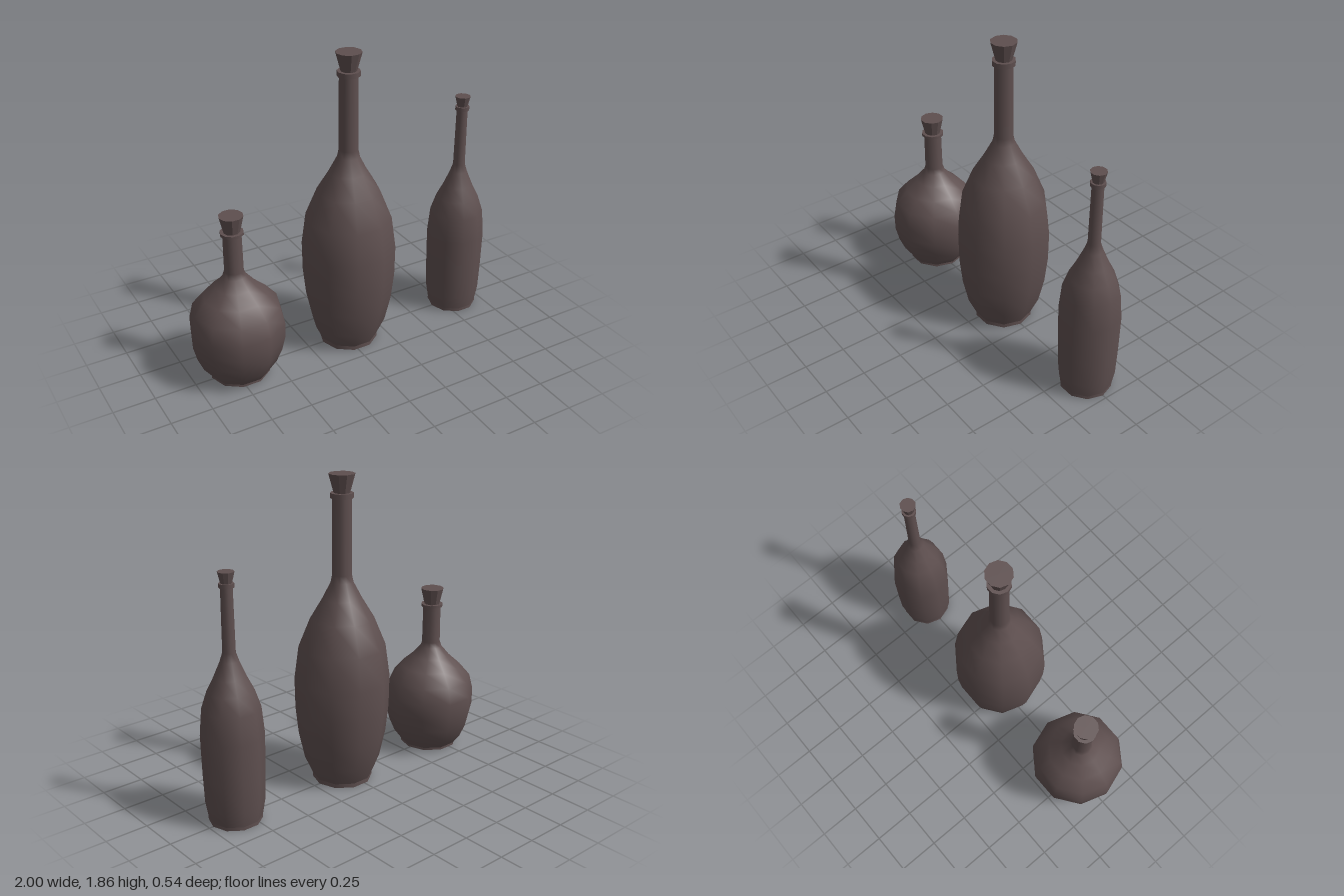
import * as THREE from 'three';

const SIDES = 10;
const glass = new THREE.MeshStandardMaterial({ color: 0x5e4f4f });
glass.name = 'dark brown';

// Each bottle: body profile as [radius, height], then the lip ring and the stopper
const BOTTLES = [
  {
    name: 'roundBottle', x: -0.717, base: 0.01,
    profile: [[0.18, 0.025], [0.225, 0.085], [0.26, 0.17], [0.281, 0.26], [0.283, 0.36], [0.258, 0.46],
      [0.19, 0.54], [0.118, 0.605], [0.068, 0.665], [0.057, 0.7], [0.055, 0.94]],
    ring: [0.068, 0.933, 0.95], cork: [0.048, 0.071, 1.05],
  },
  {
    name: 'tallBottle', x: 0.03, base: 0,
    profile: [[0.18, 0.025], [0.227, 0.13], [0.262, 0.29], [0.28, 0.46], [0.283, 0.65], [0.256, 0.85],
      [0.187, 1.02], [0.115, 1.14], [0.066, 1.235], [0.057, 1.28], [0.055, 1.74]],
    ring: [0.067, 1.722, 1.752], cork: [0.047, 0.076, 1.86],
  },
  {
    name: 'slimBottle', x: 0.822, base: 0,
    profile: [[0.153, 0.02], [0.168, 0.11], [0.174, 0.28], [0.178, 0.52], [0.163, 0.68], [0.13, 0.78],
      [0.09, 0.86], [0.052, 0.95], [0.036, 1.0], [0.033, 1.37]],
    ring: [0.042, 1.358, 1.382], cork: [0.031, 0.046, 1.445],
  },
];

function frustum(rBottom, rTop, y0, y1) {
  return new THREE.CylinderGeometry(rTop, rBottom, y1 - y0, SIDES).translate(0, (y0 + y1) / 2, 0);
}

function addPart(group, name, geometry) {
  const mesh = new THREE.Mesh(geometry, glass);
  mesh.name = name;
  group.add(mesh);
}

function makeBottle({ name, x, base, profile, ring, cork }) {
  const bottle = new THREE.Group();
  bottle.name = name;
  bottle.position.x = x;
  bottle.rotation.y = Math.PI / 2; // puts a corner of the decagon on the x axis

  // smooth body and neck
  const points = profile.map(([r, y]) => new THREE.Vector2(r, y));
  addPart(bottle, 'body', new THREE.LatheGeometry(points, SIDES));

  // foot with flat underside
  const [footRadius, footTop] = profile[0];
  addPart(bottle, 'foot', frustum(footRadius, footRadius, base, footTop));

  // lip ring around the mouth
  const [ringRadius, ringBottom, ringTop] = ring;
  addPart(bottle, 'lipRing', frustum(ringRadius, ringRadius, ringBottom, ringTop));

  // faceted stopper, wider at the top
  const stopper = frustum(cork[0], cork[1], ringTop, cork[2]).toNonIndexed();
  stopper.computeVertexNormals();
  addPart(bottle, 'stopper', stopper);
  return bottle;
}

export function createModel() {
  const model = new THREE.Group();
  model.name = 'bottles';
  for (const spec of BOTTLES) model.add(makeBottle(spec));
  return model;
}
